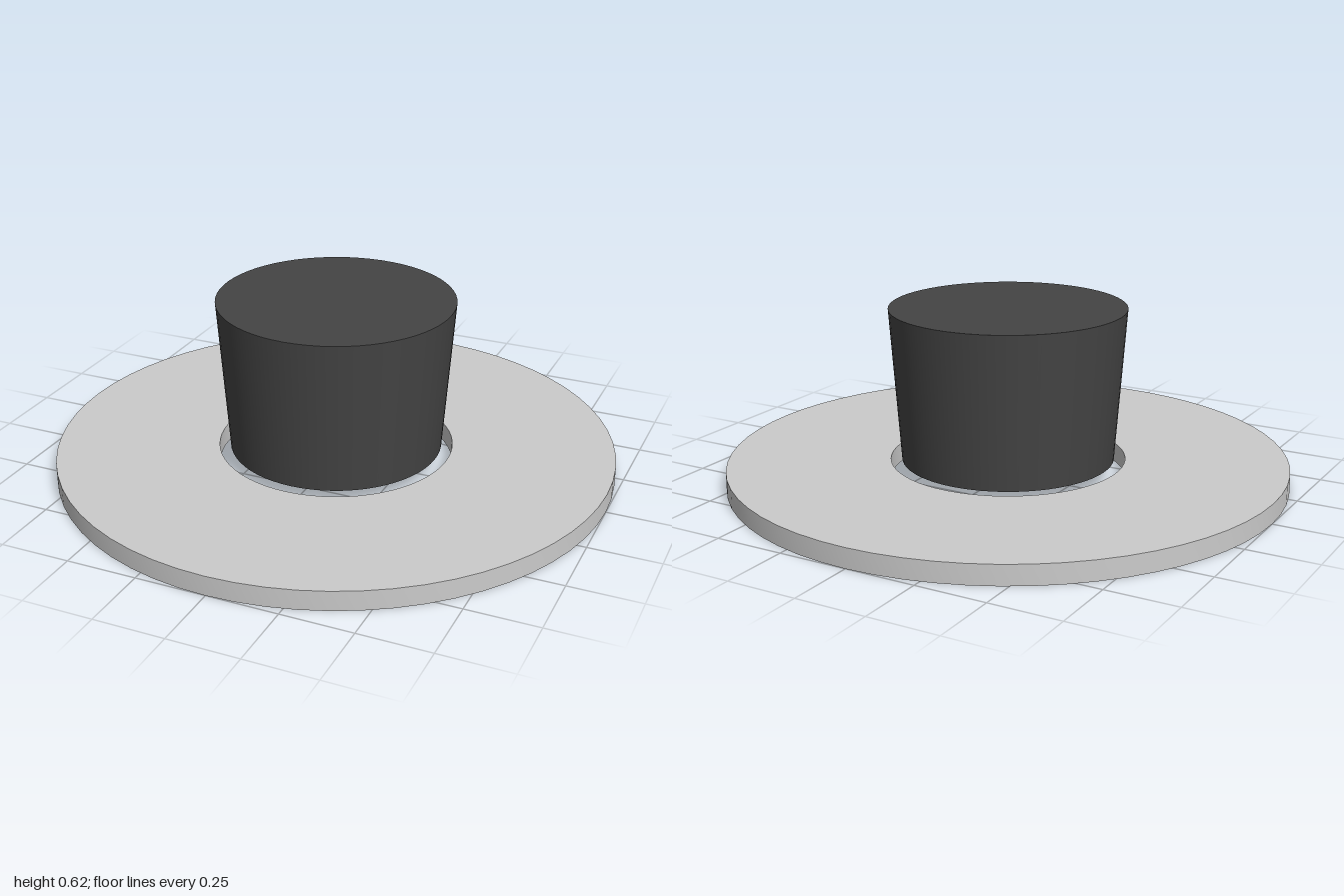
import * as THREE from 'three';
import { toCreasedNormals } from 'three/addons/utils/BufferGeometryUtils.js';

const SEGMENTS = 64;
const BASE = 0.07; // ring thickness
const TOP = 0.62; // overall height
const HOLE = 0.42; // ring inner radius

export function createModel() {
  const model = new THREE.Group();

  // Flat ring with a square-edged section
  const section = [[HOLE, 0], [1, 0], [1, BASE], [HOLE, BASE], [HOLE, 0]];
  const ringGeometry = toCreasedNormals(
    new THREE.LatheGeometry(section.map(([r, y]) => new THREE.Vector2(r, y)), SEGMENTS),
    Math.PI / 6
  );
  const ring = new THREE.Mesh(ringGeometry, new THREE.MeshStandardMaterial({ color: 0xcccccc }));
  ring.name = 'brimRing';
  model.add(ring);

  // Solid crown, flaring upward from the level of the ring's top face
  const crown = new THREE.Mesh(
    new THREE.CylinderGeometry(0.42, 0.38, TOP - BASE, SEGMENTS),
    new THREE.MeshStandardMaterial({ color: 0x444444 })
  );
  crown.name = 'crown';
  crown.position.y = (TOP + BASE) / 2;
  model.add(crown);

  return model;
}
